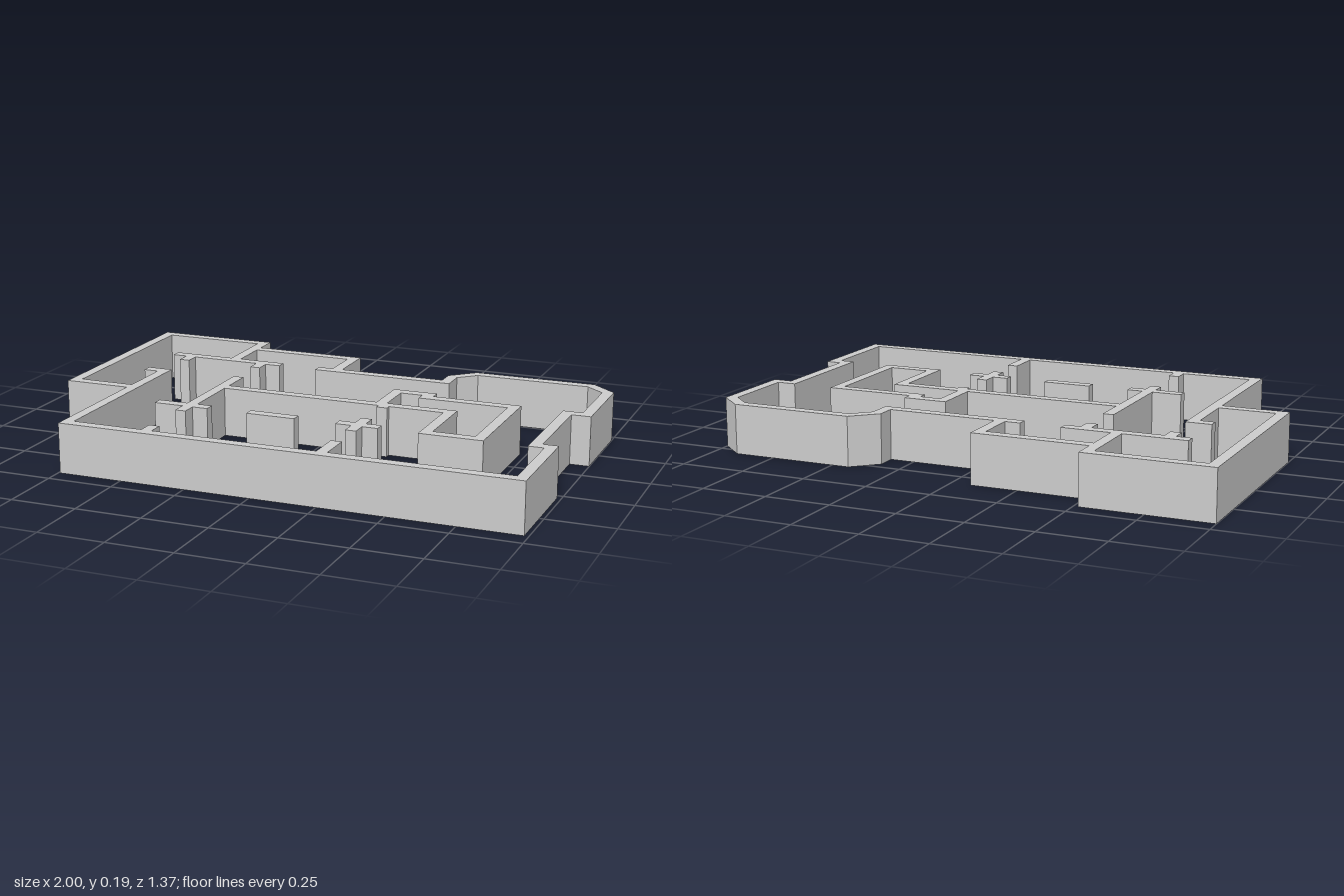
import * as THREE from 'three';

const HEIGHT = 0.188;
const THICK = 0.041;
const material = new THREE.MeshStandardMaterial({ color: 0xcccccc, flatShading: true });

// Floor-plan outline of a wall: a centre line [x, z] offset to both sides with mitred corners
function wallOutline(path) {
  const pts = path.map(([x, z]) => new THREE.Vector2(x, -z));
  const left = [], right = [];
  pts.forEach((p, i) => {
    const a = pts[i - 1], b = pts[i + 1];
    const dIn = (a ? p.clone().sub(a) : b.clone().sub(p)).normalize();
    const dOut = (b ? b.clone().sub(p) : dIn.clone()).normalize();
    const nIn = new THREE.Vector2(-dIn.y, dIn.x);
    const nOut = new THREE.Vector2(-dOut.y, dOut.x);
    const miter = nIn.clone().add(nOut).normalize();
    miter.multiplyScalar(THICK / 2 / miter.dot(nIn));
    left.push(p.clone().add(miter));
    right.unshift(p.clone().sub(miter));
  });
  return new THREE.Shape([...left, ...right]);
}

function wall(name, path) {
  const geometry = new THREE.ExtrudeGeometry(wallOutline(path), { depth: HEIGHT, bevelEnabled: false });
  geometry.rotateX(-Math.PI / 2);
  const mesh = new THREE.Mesh(geometry, material);
  mesh.name = name;
  return mesh;
}

export function createModel() {
  const house = new THREE.Group();
  house.name = 'floorPlanWalls';

  const groups = {
    // Outer shell, including the bay with cut corners
    outerWalls: {
      mainOuterWall: [
        [-0.8, -0.112], [-0.722, -0.112], [-0.722, 0.661], [0.964, 0.661], [0.964, 0.295],
        [0.906, 0.295], [0.906, -0.132], [0.979, -0.132], [0.979, -0.452], [0.896, -0.525],
        [0.441, -0.525], [0.362, -0.452], [0.362, -0.367], [-0.175, -0.367],
      ],
      westRoomWall: [[-0.742, 0.145], [-0.979, 0.145], [-0.979, -0.663], [-0.538, -0.663], [-0.538, -0.387]],
      northRoomWall: [[-0.518, -0.566], [-0.096, -0.566], [-0.096, -0.387]],
    },
    // Partitions between the rooms
    innerWalls: {
      northPartition: [[-0.8, -0.367], [-0.33, -0.367]],
      northPartitionStubWest: [[-0.722, -0.347], [-0.722, -0.288]],
      northPartitionStubEast: [[-0.41, -0.347], [-0.41, -0.288]],
      centrePartition: [[-0.41, -0.134], [-0.41, 0.374]],
      centreCrossArmWest: [[-0.545, 0.295], [-0.43, 0.295]],
      centreCrossArmEast: [[-0.39, 0.295], [-0.33, 0.295]],
      coreWall: [
        [-0.39, 0.018], [0.508, 0.018], [0.508, 0.295], [0.706, 0.295], [0.706, -0.133], [0.34, -0.133],
      ],
      coreNook: [[0.235, -0.002], [0.235, -0.173], [0.385, -0.173]],
      coreStub: [[0.257, 0.038], [0.257, 0.06]],
      freeWall: [[-0.172, 0.295], [0.016, 0.295]],
      crossWall: [[0.176, 0.295], [0.337, 0.295]],
      crossWallArmBack: [[0.257, 0.214], [0.257, 0.275]],
      crossWallArmFront: [[0.257, 0.315], [0.257, 0.374]],
      frontStubWest: [[-0.41, 0.58], [-0.41, 0.641]],
      frontStubEast: [[0.257, 0.508], [0.257, 0.641]],
    },
  };

  for (const [groupName, walls] of Object.entries(groups)) {
    const group = new THREE.Group();
    group.name = groupName;
    for (const [name, path] of Object.entries(walls)) group.add(wall(name, path));
    house.add(group);
  }
  return house;
}
